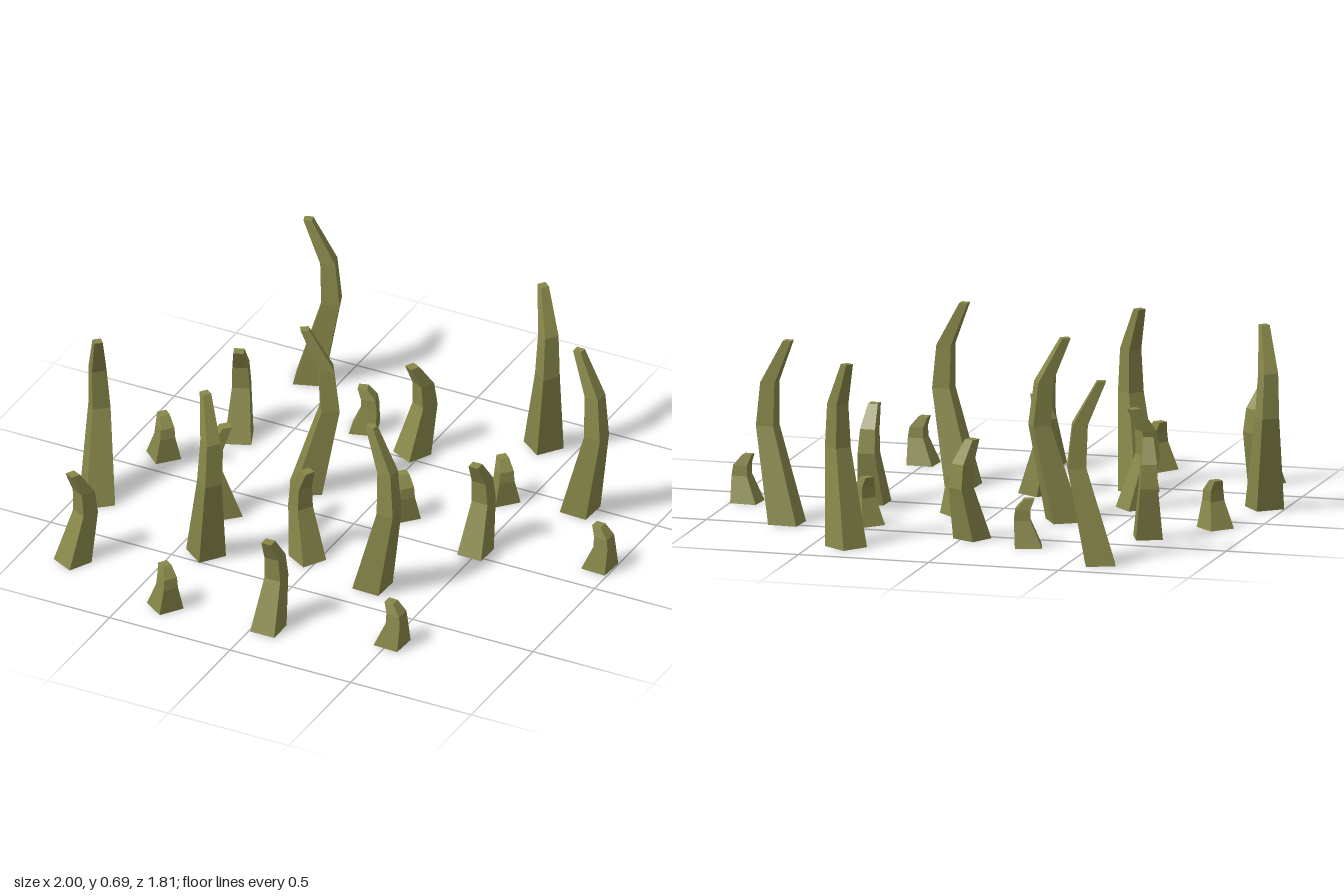
import * as THREE from 'three';

// Each blade is a four-sided stalk: sections are [height, bend, sideways shift, width]
const SIZES = {
  tallBlade: [[0, 0, 0, 0.11], [0.36, 0.086, 0.028, 0.068], [0.525, 0.074, 0.018, 0.056], [0.69, -0.005, 0, 0.032]],
  mediumBlade: [[0, 0, 0, 0.1], [0.2, 0.055, 0.005, 0.066], [0.29, 0.048, 0.003, 0.058], [0.375, 0, 0, 0.038]],
  smallBlade: [[0, 0, 0, 0.1], [0.1, 0.023, 0.005, 0.06], [0.14, 0.02, 0.003, 0.054], [0.18, -0.004, 0, 0.036]],
};

// Placement of each blade: [x, z, turn in degrees]
const PLACES = {
  tallBlade: [
    [0.697, -0.473, -3], [0.26, 0.355, -2], [-0.615, -0.843, 19], [0.37, -0.816, -36],
    [-0.273, -0.146, 32], [-0.92, 0.28, 130], [-0.393, 0.428, -37],
  ],
  mediumBlade: [
    [0.056, 0.8, 90], [0.49, -0.03, 89], [-0.805, 0.704, 63], [-0.036, -0.544, 63],
    [-0.655, -0.348, 112], [-0.458, 0.142, 225], [-0.043, 0.29, 150],
  ],
  smallBlade: [
    [0.944, -0.15, -3], [0.508, 0.68, -3], [-0.356, 0.83, -35], [0.134, -0.142, -42],
    [0.409, -0.412, -42], [-0.845, -0.112, -42], [-0.273, -0.618, 17],
  ],
};

// A box with three height steps, each ring moved to its section
function bladeGeometry(sections) {
  const geo = new THREE.BoxGeometry(1, 3, 1, 1, 3, 1);
  const pos = geo.attributes.position;
  for (let i = 0; i < pos.count; i++) {
    const [height, bend, shift, width] = sections[Math.round(pos.getY(i) + 1.5)];
    pos.setXYZ(i, bend + pos.getX(i) * width, height, shift + pos.getZ(i) * width);
  }
  geo.computeVertexNormals();
  return geo;
}

export function createModel() {
  const model = new THREE.Group();
  model.name = 'grassPatch';
  const material = new THREE.MeshStandardMaterial({ color: 0x87874a, flatShading: true });

  for (const [name, sections] of Object.entries(SIZES)) {
    const geometry = bladeGeometry(sections);
    PLACES[name].forEach(([x, z, turn], i) => {
      const blade = new THREE.Mesh(geometry, material);
      blade.name = `${name}${i + 1}`;
      blade.position.set(x, 0, z);
      blade.rotation.y = THREE.MathUtils.degToRad(turn);
      model.add(blade);
    });
  }
  return model;
}
